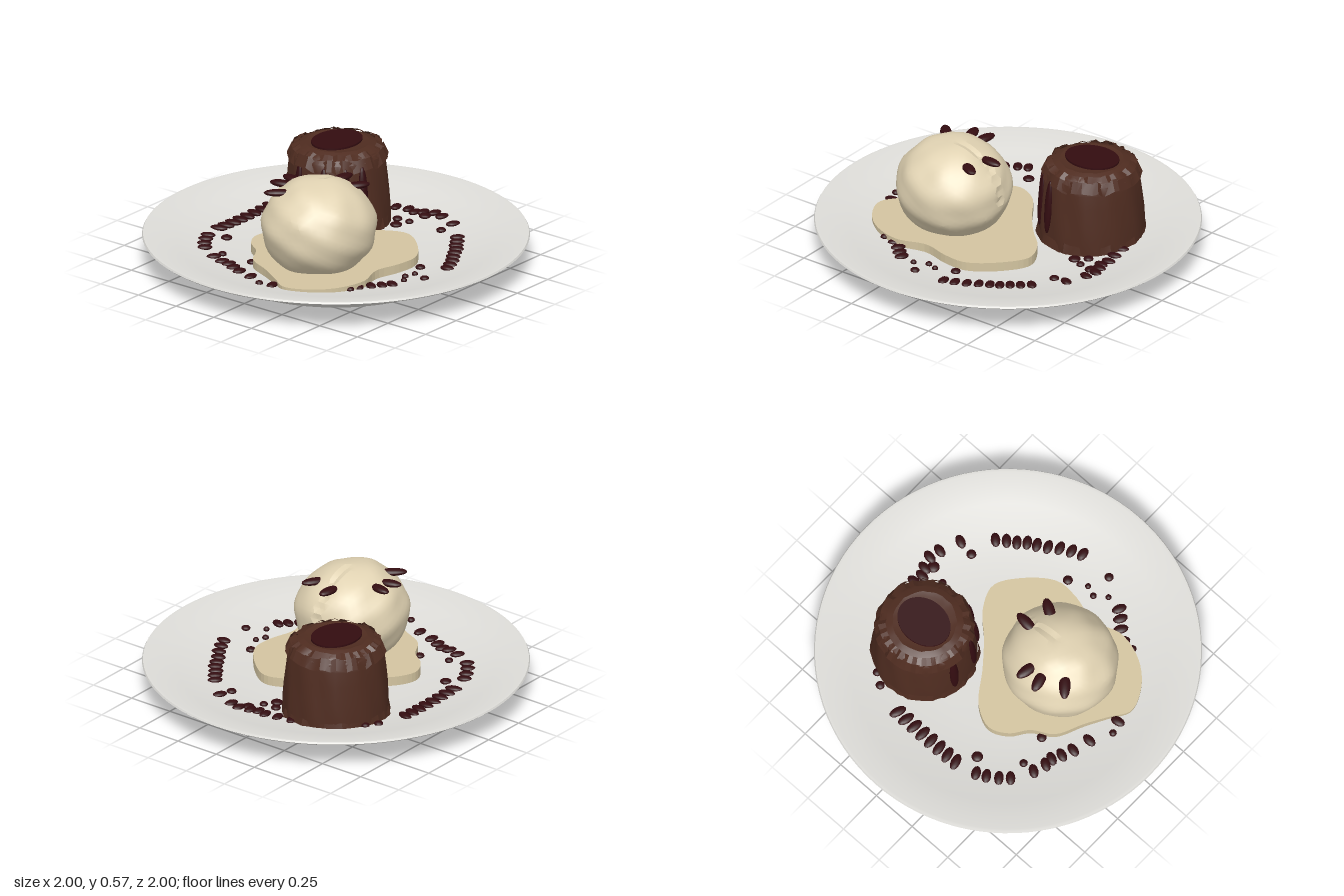
import * as THREE from 'three';
import { mergeVertices, toCreasedNormals } from 'three/addons/utils/BufferGeometryUtils.js';

const mat = (name, color, side = THREE.FrontSide) => {
  const m = new THREE.MeshStandardMaterial({ color, side });
  m.name = name;
  return m;
};

// Small seeded generator
function seeded(seed) {
  let s = seed;
  return () => (s = (s * 16807) % 2147483647) / 2147483647;
}

// Upper surface of the plate: [radius, height]
const PLATE_TOP = [[0, 0.07], [0.4, 0.07], [0.55, 0.08], [0.68, 0.1], [0.82, 0.13], [0.98, 0.168]];
function plateHeight(r) {
  for (let i = 1; i < PLATE_TOP.length; i++) {
    const [r0, y0] = PLATE_TOP[i - 1], [r1, y1] = PLATE_TOP[i];
    if (r <= r1) return y0 + (y1 - y0) * (r - r0) / (r1 - r0);
  }
  return 0.168;
}

export function createModel() {
  const group = new THREE.Group();
  const china = mat('china', 0xdddcd8);
  const cream = mat('cream', 0xe0d2b2);
  const sauce = mat('vanillaSauce', 0xd3c4a0);
  const cake = mat('chocolateCake', 0x4f2c20, THREE.DoubleSide);
  const syrup = mat('cherrySyrup', 0x330c10);

  function add(name, geometry, material, x = 0, y = 0, z = 0, parent = group) {
    const mesh = new THREE.Mesh(geometry, material);
    mesh.name = name;
    mesh.position.set(x, y, z);
    parent.add(mesh);
    return mesh;
  }

  // Plate: foot, flared underside, rim, shallow well
  const plateProfile = [[0, 0], [0.64, 0], [0.645, 0.004], [0.685, 0.035], [0.99, 0.15], [1, 0.158], [0.995, 0.167],
    ...PLATE_TOP.slice().reverse()].map(p => new THREE.Vector2(...p));
  add('plate', toCreasedNormals(new THREE.LatheGeometry(plateProfile, 96), 0.5), china);

  // Sauce puddle
  const outline = [[-0.2, -0.365], [-0.08, -0.31], [0.04, -0.15], [0.15, -0.02], [0.26, 0.09], [0.31, 0.22],
    [0.23, 0.35], [0.08, 0.465], [-0.05, 0.465], [-0.2, 0.43], [-0.36, 0.475], [-0.52, 0.43], [-0.63, 0.33],
    [-0.68, 0.2], [-0.62, 0.1], [-0.55, -0.02], [-0.48, -0.16], [-0.37, -0.23], [-0.3, -0.32]];
  const curve = new THREE.CatmullRomCurve3(outline.map(([x, z]) => new THREE.Vector3(x, -z, 0)), true);
  const shape = new THREE.Shape(curve.getPoints(90).map(p => new THREE.Vector2(p.x, p.y)));
  const puddle = new THREE.ExtrudeGeometry(shape, { depth: 0.05, bevelEnabled: false }).rotateX(-Math.PI / 2);
  add('saucePuddle', puddle, sauce, 0, 0.072, 0);

  // Ice cream scoop: lumpy ball with crinkles on top and a seam towards +x
  let ball = new THREE.IcosahedronGeometry(1, 9);
  ball.deleteAttribute('uv');
  ball.deleteAttribute('normal');
  ball = mergeVertices(ball, 1e-4);
  const bp = ball.attributes.position, v = new THREE.Vector3();
  for (let i = 0; i < bp.count; i++) {
    v.fromBufferAttribute(bp, i);
    const a = Math.atan2(v.z, v.x), top = Math.max(0, v.y);
    let k = 1 + 0.012 * Math.sin(7 * v.x + 3 * v.y) * Math.cos(6 * v.z - 4 * v.y)
      + 0.012 * Math.sin(11 * v.y + 5 * v.z + 4 * v.x);
    k += 0.018 * top * Math.sin(9 * a + 5 * v.y) * (1 - top * top);
    if (v.y > -0.1 && v.x > 0.1 && Math.abs(v.z) < 0.05) k -= 0.035;
    bp.setXYZ(i, v.x * k * 0.303, v.y * k * 0.262, v.z * k * 0.295);
  }
  add('iceCreamScoop', toCreasedNormals(ball, 0.35), cream, -0.27, 0.312, 0.105);

  // Flattened drops lying on the scoop: [x, z, heading, length]
  const drop = new THREE.SphereGeometry(1, 14, 10);
  const onScoop = [[-0.43, -0.035, 0.85, 0.075], [-0.315, -0.105, 1.3, 0.065], [-0.23, -0.105, 1.75, 0.065],
    [-0.05, 0.085, 0.1, 0.068], [-0.09, 0.215, 0.55, 0.068]];
  for (const [x, z, heading, length] of onScoop) {
    const m = add('scoopDrop', drop, syrup, x, 0.508, z);
    m.scale.set(length, 0.018, 0.03);
    m.rotation.y = -heading;
  }

  // Chocolate cake: slightly rough tapered drum
  const cakeGroup = new THREE.Group();
  cakeGroup.name = 'lavaCake';
  cakeGroup.position.set(0.34, 0, -0.265);
  group.add(cakeGroup);
  const cakeProfile = [[0.2, 0.07], [0.275, 0.075], [0.273, 0.15], [0.266, 0.24], [0.258, 0.33], [0.25, 0.41],
    [0.242, 0.455], [0.222, 0.482], [0.195, 0.495], [0.165, 0.505], [0.14, 0.5], [0, 0.497]];
  const body = new THREE.LatheGeometry(cakeProfile.map(p => new THREE.Vector2(...p)), 48);
  const cp = body.attributes.position;
  for (let i = 0; i < cp.count; i++) {
    v.fromBufferAttribute(cp, i);
    const a = Math.atan2(v.x, v.z);
    const k = 1 + 0.012 * Math.sin(11 * a + 9 * v.y) + 0.008 * Math.sin(19 * a - 14 * v.y);
    cp.setXYZ(i, v.x * k, v.y, v.z * k);
  }
  add('cakeBody', toCreasedNormals(body, 0.5), cake, 0, 0, 0, cakeGroup);

  // Ragged crust bands around the cake: open strips with uneven edges
  const rand = seeded(77);
  function crust(name, rTop, yTop, rLow, yLow, rough) {
    const g = new THREE.CylinderGeometry(rTop, rLow, 1, 56, 1, true);
    const p = g.attributes.position;
    const jag = Array.from({ length: 57 }, () => rand() - 0.5);
    jag[56] = jag[0];
    for (let i = 0; i < p.count; i++) {
      const j = jag[i % 57], upper = p.getY(i) > 0;
      const k = 1 + j * (upper ? 0.03 : 0.06);
      p.setXYZ(i, p.getX(i) * k, (upper ? yTop : yLow) + j * rough, p.getZ(i) * k);
    }
    add(name, toCreasedNormals(g, 0.3), cake, 0, 0, 0, cakeGroup);
  }
  crust('topCrust', 0.2, 0.5, 0.236, 0.478, 0.014);
  crust('shoulderCrust', 0.234, 0.478, 0.257, 0.42, 0.03);
  crust('baseCrust', 0.274, 0.13, 0.282, 0.08, 0.02);

  // Syrup pool on the cake
  add('syrupPool', new THREE.CylinderGeometry(0.15, 0.15, 0.01, 48), syrup, 0, 0.509, -0.005, cakeGroup)
    .scale.z = 0.8;

  // Syrup runs down the side of the cake
  for (const a of [3.35, 2.75, 2.3, 1.93]) {
    const run = add('syrupRun', drop, syrup, Math.cos(a) * 0.262, 0.295, Math.sin(a) * 0.262, cakeGroup);
    run.scale.set(0.018, 0.15, 0.026);
    run.rotation.set(0, -a, 0.08);
  }

  // Syrup dots: long ones point away from the plate centre, round ones are small
  const longDots = [[-0.32, -0.59], [-0.37, -0.565], [-0.425, -0.53], [-0.47, -0.49], [-0.53, -0.38], [-0.55, -0.31],
    [-0.55, -0.265], [-0.575, -0.215], [-0.6, -0.155], [-0.625, -0.06], [-0.665, 0.115], [-0.38, 0.46],
    [-0.33, 0.5], [-0.29, 0.54], [-0.25, 0.575], [0.09, 0.665], [0.145, 0.64], [0.2, 0.61], [0.25, 0.575],
    [0.3, 0.545], [0.345, 0.52], [0.385, 0.485], [0.43, 0.455], [0.475, 0.42], [0.6, 0.29], [0.645, 0.18],
    [0.66, 0.12], [0.64, 0.06], [0.62, 0.02], [0.63, -0.03], [0.615, -0.1], [0.6, -0.18]];
  for (let i = 0; i < 8; i++) longDots.push([-0.2 + i * 0.058, -0.615]);
  const roundDots = [[-0.26, -0.515, 0.03], [-0.46, -0.38, 0.022], [-0.43, -0.21, 0.026], [-0.69, 0.05, 0.02],
    [-0.45, 0.46, 0.02], [-0.165, 0.585, 0.016], [-0.1, 0.54, 0.018], [-0.045, 0.56, 0.016], [0.055, 0.515, 0.026],
    [-0.095, 0.665, 0.024], [0.515, 0.28, 0.026], [0.61, 0.095, 0.032], [0.52, 0.065, 0.022],
    [0.455, 0.03, 0.032], [0.515, -0.01, 0.026], [0.37, -0.57, 0.024], [0.43, -0.53, 0.022]];
  const dots = [...longDots.map(([x, z]) => [x, z, 0.025, Math.abs(x) < 0.25 && z < 0 ? 0.048 : 0.04]),
    ...roundDots.map(([x, z, r]) => [x, z, r, r])];
  const bead = new THREE.SphereGeometry(1, 12, 8);
  for (const [x, z, width, length] of dots) {
    const m = add('syrupDot', bead, syrup, x, plateHeight(Math.hypot(x, z)) + 0.006, z);
    m.scale.set(length, 0.014, width);
    m.rotation.y = -Math.atan2(z, x);
  }
  return group;
}
